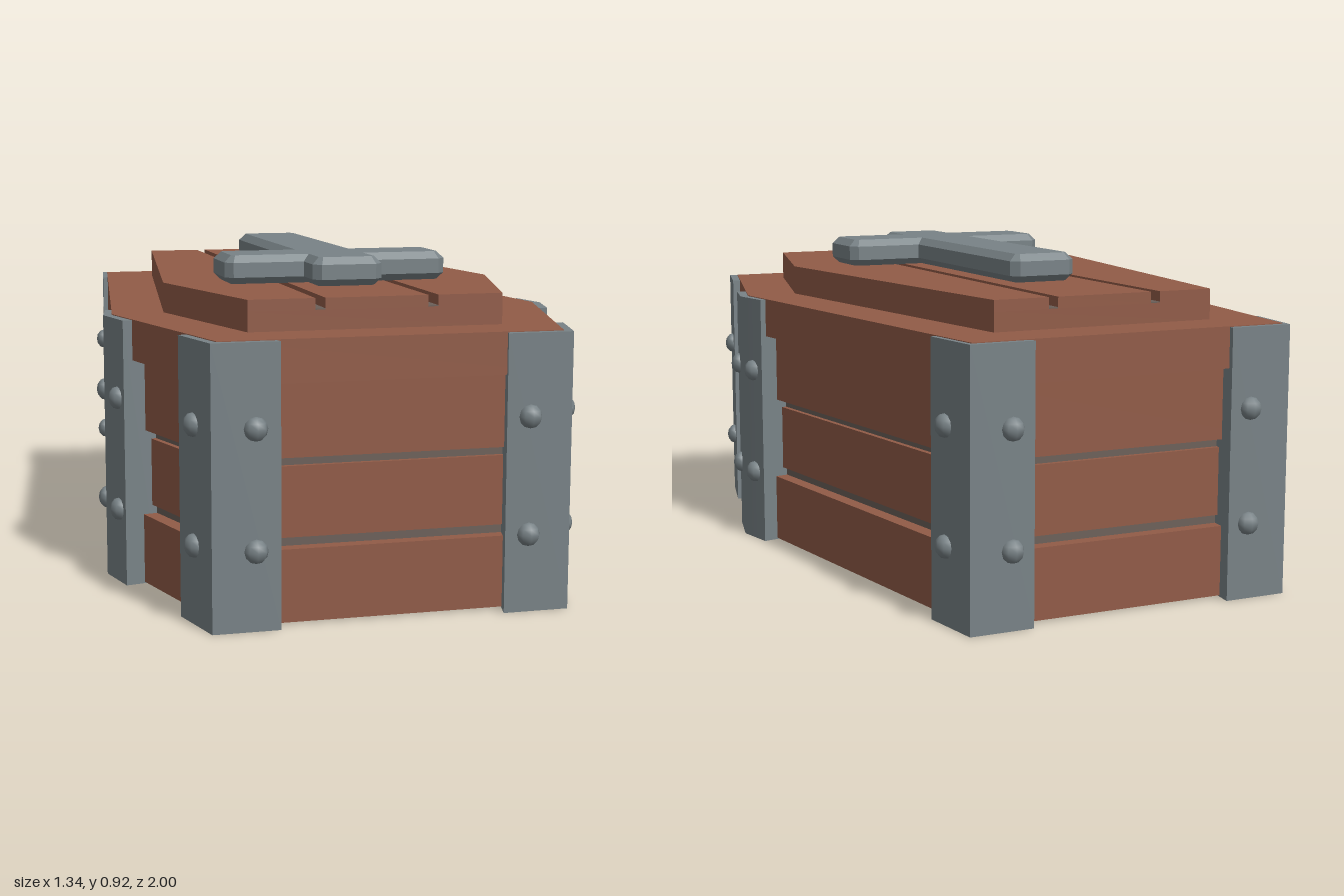
import * as THREE from 'three';
import { toCreasedNormals } from 'three/addons/utils/BufferGeometryUtils.js';

const wood = new THREE.MeshStandardMaterial({ color: 0x915b47 });
wood.name = 'brown wood';
const metal = new THREE.MeshStandardMaterial({ color: 0x788286 });
metal.name = 'grey metal';
const groove = new THREE.MeshStandardMaterial({ color: 0x6c6059 });
groove.name = 'grey brown groove';

// Floor-plan points [x, z] to a shape whose extrusion will rise along y
const plan = (pts) => new THREE.Shape(pts.map(([x, z]) => new THREE.Vector2(x, -z)));

function prism(name, pts, y0, y1, material) {
  let geo = new THREE.ExtrudeGeometry(plan(pts), { depth: y1 - y0, bevelEnabled: false });
  geo.rotateX(-Math.PI / 2);
  geo.translate(0, y0, 0);
  geo = toCreasedNormals(geo, 0.6);
  const mesh = new THREE.Mesh(geo, material);
  mesh.name = name;
  return mesh;
}

// Six-sided outline from its right half
const mirrored = (half) => [...half, ...half.slice().reverse().map(([x, z]) => [-x, z])];
const bodyOutline = (d) => mirrored([[0.465 - d, -0.962 + d], [0.635 - d, 0.31], [0.467 - d, 0.952 - d]]);

// Cut every convex corner of a right-angled outline
function chamfer(pts, c) {
  const out = [];
  const n = pts.length;
  const toward = (a, b) => {
    const l = Math.hypot(b[0] - a[0], b[1] - a[1]);
    return [a[0] + ((b[0] - a[0]) * c) / l, a[1] + ((b[1] - a[1]) * c) / l];
  };
  pts.forEach((p, i) => {
    const a = pts[(i + n - 1) % n], b = pts[(i + 1) % n];
    const turn = (p[0] - a[0]) * (b[1] - p[1]) - (p[1] - a[1]) * (b[0] - p[0]);
    if (turn > 0) out.push(toward(p, a), toward(p, b));
    else out.push(p);
  });
  return out;
}

function makeCross() {
  const b = 0.02;
  const w = 0.1 - b, arm = 0.325 - b;
  const top = -0.46 + b, a0 = 0.215 + b, a1 = 0.41 - b, foot = 0.53 - b;
  const pts = chamfer([
    [-w, top], [w, top], [w, a0], [arm, a0], [arm, a1], [w, a1],
    [w, foot], [-w, foot], [-w, a1], [-arm, a1], [-arm, a0], [-w, a0],
  ], 0.01);
  const geo = new THREE.ExtrudeGeometry(plan(pts), {
    depth: 0.042, bevelEnabled: true, bevelSize: b, bevelThickness: b, bevelSegments: 1,
  });
  geo.rotateX(-Math.PI / 2);
  geo.translate(0, 0.858, 0);
  const mesh = new THREE.Mesh(geo, metal);
  mesh.name = 'lidCross';
  return mesh;
}

// Two bolts, one above the other, on the bracket face from corner to end
const boltGeo = new THREE.SphereGeometry(0.032, 8, 6);
function addBolts(group, corner, end, t, side) {
  const x = (corner[0] + (end[0] - corner[0]) * t) * side;
  const z = corner[1] + (end[1] - corner[1]) * t;
  const angle = Math.atan2(end[1] - corner[1], (end[0] - corner[0]) * side);
  for (const y of [0.212, 0.53]) {
    const bolt = new THREE.Mesh(boltGeo, metal);
    bolt.name = 'bolt';
    bolt.position.set(x, y, z);
    bolt.rotation.y = -angle;
    bolt.scale.z = 0.8;
    group.add(bolt);
  }
}

export function createModel() {
  const model = new THREE.Group();
  model.name = 'coffin';

  // Recessed core shows between the three rows of planks
  model.add(prism('bodyCore', bodyOutline(0.066), 0.01, 0.65, groove));
  const planks = [[0.004, 0.2, 0.027], [0.225, 0.415, 0.052], [0.44, 0.642, 0.035]];
  planks.forEach(([y0, y1, inset]) => model.add(prism('bodyPlank', bodyOutline(inset), y0, y1, wood)));

  // Lid slab and raised panel with two open grooves
  model.add(prism('lid', bodyOutline(0), 0.64, 0.754, wood));
  const panelHalf = [[0.33, -0.81], [0.485, 0.3], [0.352, 0.8]];
  model.add(prism('lidPanelBase', mirrored(panelHalf), 0.75, 0.808, wood));
  const strip = (x0, x1) => [[x0, -0.81], [x1, -0.81], [x1, 0.8], [x0, 0.8]];
  model.add(prism('lidPanelMiddle', strip(-0.142, 0.142), 0.808, 0.839, wood));
  for (const s of [1, -1]) {
    const half = [[0.17, -0.81], ...panelHalf, [0.17, 0.8]].map(([x, z]) => [x * s, z]);
    model.add(prism('lidPanelSide', half, 0.808, 0.839, wood));
    model.add(prism('lidGroove', strip(0.142, 0.17).map(([x, z]) => [x * s, z]), 0.807, 0.811, groove));
  }
  model.add(makeCross());

  // Metal brackets: outer corner, its two face ends, then inner points
  const brackets = [
    { name: 'frontBracket', corner: [0.487, 0.973], a: [0.305, 0.973], b: [0.534, 0.787], inner: [[0.352, 0.787]], ta: 0.64, tb: 0.56 },
    { name: 'backBracket', corner: [0.478, -0.98], a: [0.295, -0.98], b: [0.503, -0.793], inner: [[0.32, -0.793]], ta: 0.66, tb: 0.64 },
    { name: 'middleBracket', corner: [0.66, 0.31], a: [0.626, 0.452], b: [0.636, 0.187], inner: [[0.53, 0.21], [0.53, 0.43]], ta: 0.67, tb: 0.56 },
  ];
  for (const { name, corner, a, b, inner, ta, tb } of brackets) {
    for (const s of [1, -1]) {
      const group = new THREE.Group();
      group.name = name;
      const pts = [a, corner, b, ...inner].map(([x, z]) => [x * s, z]);
      group.add(prism('bracketPlate', pts, 0, 0.752, metal));
      addBolts(group, corner, a, ta, s);
      addBolts(group, corner, b, tb, s);
      model.add(group);
    }
  }
  return model;
}
